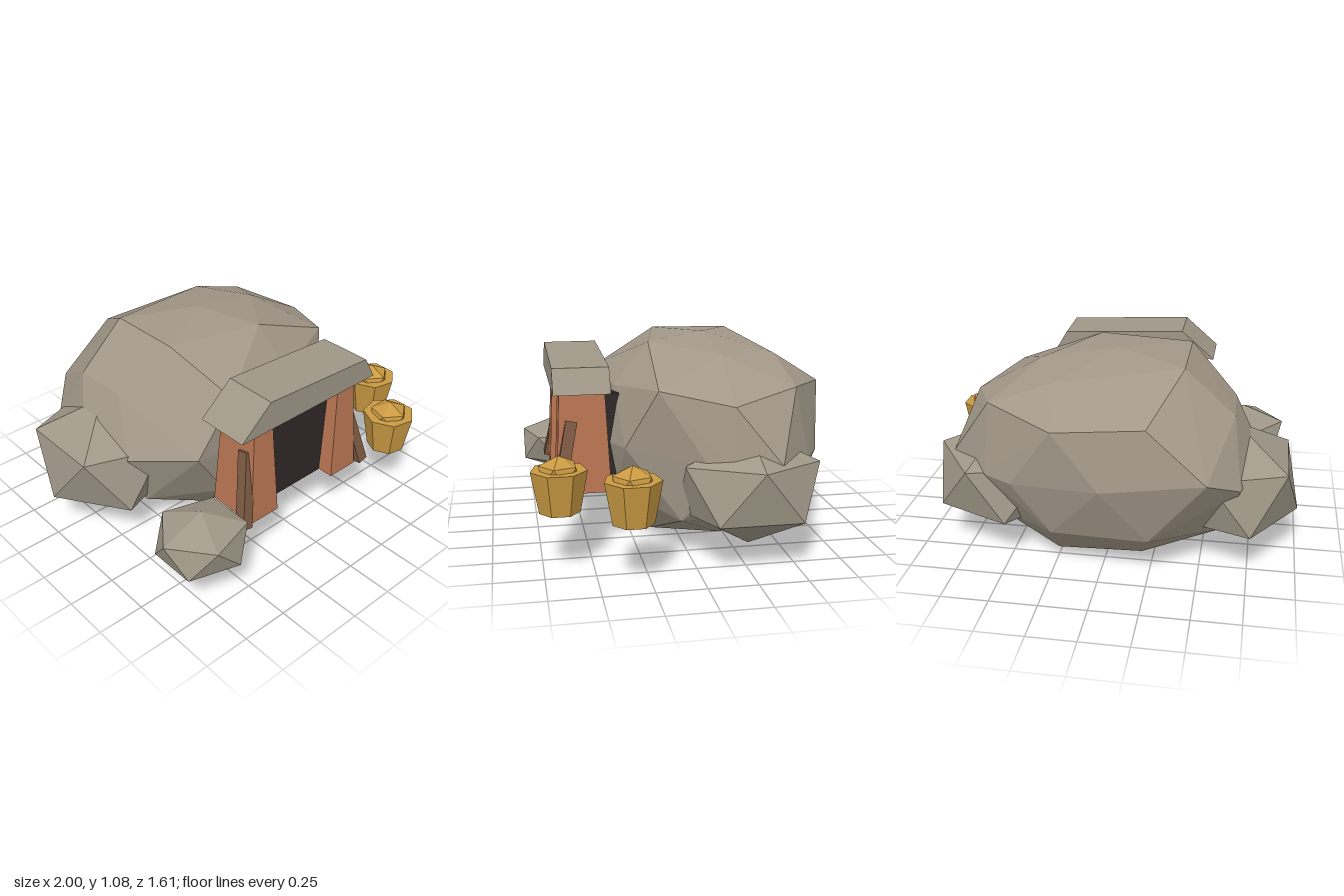
import * as THREE from 'three';
import { ConvexGeometry } from 'three/addons/geometries/ConvexGeometry.js';

const material = (name, color) => new THREE.MeshStandardMaterial({ name, color, flatShading: true });

export function createModel() {
  const model = new THREE.Group();
  model.name = 'rockHut';
  const rock = material('warm stone', 0xa29888);
  const stone = material('grey stone', 0x9f9787);
  const brick = material('terracotta', 0xba7653);
  const wood = material('dark wood', 0x7c5942);
  const dark = material('doorway black', 0x302829);
  const gold = material('gold', 0xca9a43);

  const add = (name, geometry, mat, x = 0, y = 0, z = 0, parent = model) => {
    const mesh = new THREE.Mesh(geometry, mat);
    mesh.name = name;
    mesh.position.set(x, y, z);
    parent.add(mesh);
    return mesh;
  };

  // Faceted lump: two poles and two staggered rings of five corners
  const lump = (rx, ry, rz, turn) => {
    const points = [new THREE.Vector3(0, ry, 0), new THREE.Vector3(0, -ry, 0)];
    for (let i = 0; i < 10; i++) {
      const a = turn + (i * Math.PI) / 5;
      const side = i % 2 ? -1 : 1;
      points.push(new THREE.Vector3(0.894 * rx * Math.cos(a), side * 0.447 * ry, 0.894 * rz * Math.sin(a)));
    }
    return new ConvexGeometry(points);
  };

  // Main rock, corners listed from the crown downwards
  const corners = [
    [-0.02, 1.08, -0.19], [0.38, 1.01, -0.2], [-0.39, 1.06, 0.03], [-0.39, 1.055, -0.4],
    [0.12, 1.05, 0.14], [0.25, 0.99, -0.52],
    [-0.24, 0.86, -0.745], [0.22, 0.83, -0.775], [0.59, 0.87, -0.54], [0.74, 0.81, -0.19],
    [0.58, 0.87, 0.16], [0.16, 0.83, 0.335], [-0.28, 0.87, 0.375], [-0.64, 0.82, -0.1], [-0.65, 0.82, -0.4],
    [-0.54, 0.6, -0.77], [-0.02, 0.54, -0.805], [0.45, 0.5, -0.7], [0.61, 0.5, -0.61],
    [0.83, 0.53, -0.41], [0.79, 0.5, -0.18], [0.73, 0.52, -0.06], [0.43, 0.55, 0.31], [0.19, 0.53, 0.38],
    [-0.5, 0.58, 0.365], [-0.72, 0.52, 0.06], [-0.8, 0.54, -0.22], [-0.7, 0.5, -0.6],
    [0.2, 0.27, 0.33], [-0.28, 0.26, 0.33], [0.25, 0.23, -0.68], [-0.25, 0.23, -0.7],
    [0.6, 0.2, 0.05], [0.6, 0.2, -0.42], [-0.6, 0.18, -0.42], [-0.6, 0.2, 0.05],
    [-0.02, 0, -0.19], [0.33, 0.03, -0.2], [-0.4, 0.08, -0.2],
    [-0.2, 0.06, -0.51], [0.25, 0.04, -0.5], [0.2, 0.03, 0.14], [-0.25, 0.05, 0.14],
  ].map((c) => new THREE.Vector3(...c));
  add('mainRock', new ConvexGeometry(corners), rock);

  // Side boulders
  add('rightBoulder', lump(0.38, 0.3, 0.405, 0), stone, 0.605, 0.37, -0.295).rotation.z = 0.06;
  add('leftBoulder', lump(0.39, 0.33, 0.43, 0), stone, -0.65, 0.395, -0.25);
  add('frontBoulder', lump(0.265, 0.17, 0.248, Math.PI), stone, -0.672, 0.317, 0.583);

  // Doorway and tapered pillars
  add('doorway', new THREE.BoxGeometry(0.5, 0.5, 0.5), dark, -0.01, 0.55, 0.32);
  for (const [name, x] of [['leftPillar', 0.28], ['rightPillar', -0.31]]) {
    const geometry = new THREE.BoxGeometry(0.185, 0.54, 0.285);
    const p = geometry.attributes.position;
    for (let i = 0; i < p.count; i++) {
      if (p.getY(i) > 0) p.setXYZ(i, p.getX(i) * 0.66, p.getY(i), p.getZ(i) * 0.82);
    }
    geometry.computeVertexNormals();
    add(name, geometry, brick, x, 0.572, 0.517);
  }

  // Stone lintel
  const profile = new THREE.Shape([
    new THREE.Vector2(-0.485, 0.84), new THREE.Vector2(0.455, 0.84),
    new THREE.Vector2(0.38, 0.965), new THREE.Vector2(-0.3, 1.0),
  ]);
  add('lintel', new THREE.ExtrudeGeometry(profile, { depth: 0.29, bevelEnabled: false }), stone, 0, 0, 0.38);

  // Planks leaning on the pillars
  const plank = (name, foot, head) => {
    const a = new THREE.Vector3(...foot);
    const b = new THREE.Vector3(...head);
    const mesh = add(name, new THREE.BoxGeometry(0.06, a.distanceTo(b), 0.06), wood);
    mesh.position.lerpVectors(a, b, 0.5);
    mesh.quaternion.setFromUnitVectors(new THREE.Vector3(0, 1, 0), b.sub(a).normalize());
  };
  plank('leftPlank', [0.425, 0.3, 0.655], [0.335, 0.68, 0.575]);
  plank('rightPlank', [-0.45, 0.305, 0.655], [-0.365, 0.7, 0.575]);

  // Seven-sided baskets filled with gold
  [[0.64, 0.663], [0.87, 0.334]].forEach(([x, z], i) => {
    const basket = new THREE.Group();
    basket.name = 'basket' + (i + 1);
    basket.position.set(x, 0.305, z);
    model.add(basket);
    const bucket = new THREE.CylinderGeometry(0.142, 0.103, 0.212, 7, 1, false, -Math.PI / 2);
    add('bucket', bucket, gold, 0, 0.106, 0, basket);
    add('nugget', lump(0.11, 0.085, 0.11, 0.3), gold, 0, 0.197, 0, basket);
  });

  return model;
}
